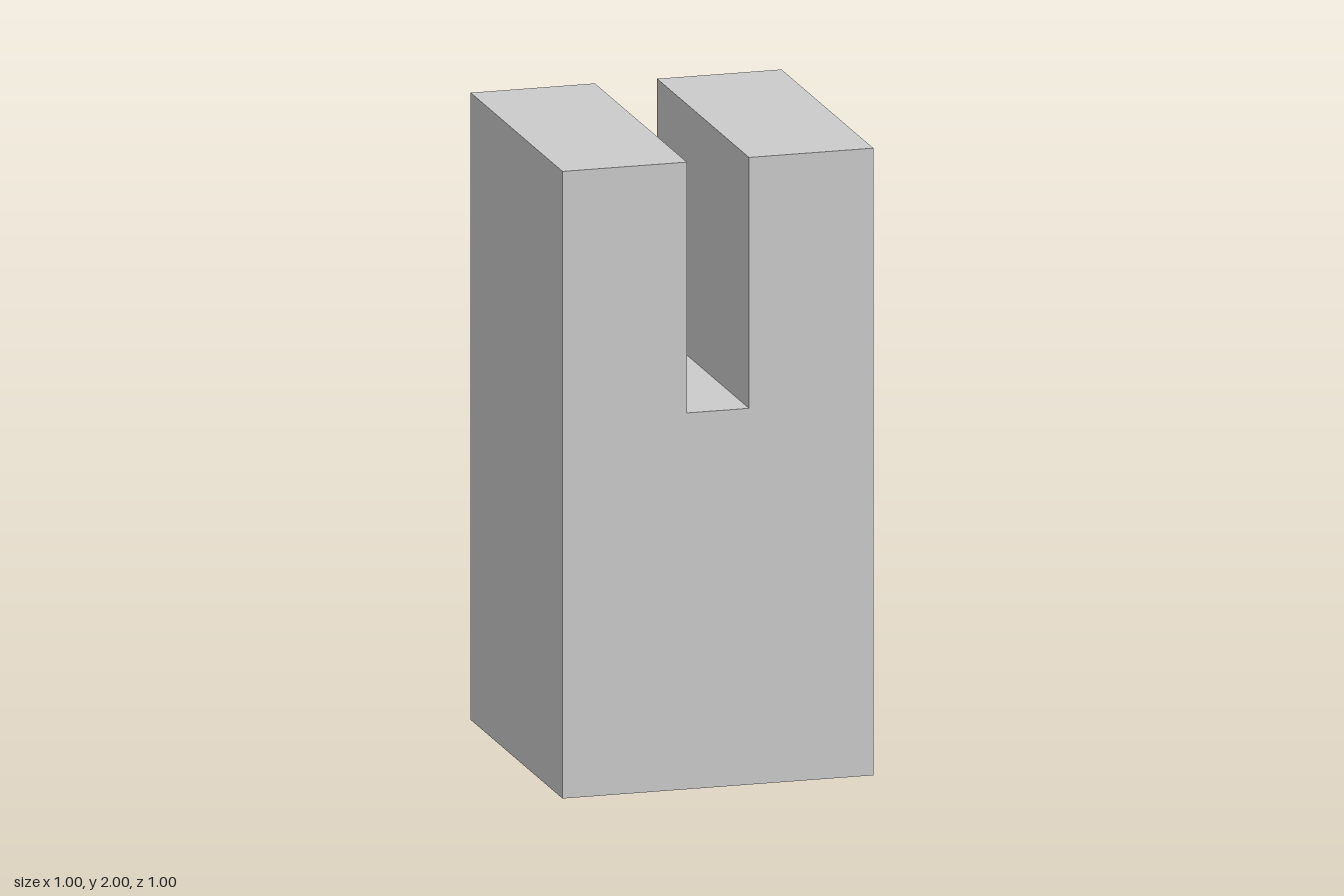
import * as THREE from 'three';

const WIDTH = 1, HEIGHT = 2, DEPTH = 1;
const SLOT_WIDTH = 0.2, SLOT_FLOOR = 1.2;

export function createModel() {
  const group = new THREE.Group();
  group.name = 'slottedBlock';

  // U-shaped front outline, counter-clockwise from the bottom corner
  const w = WIDTH / 2, s = SLOT_WIDTH / 2;
  const outline = new THREE.Shape([
    [-w, 0], [w, 0], [w, HEIGHT], [s, HEIGHT],
    [s, SLOT_FLOOR], [-s, SLOT_FLOOR], [-s, HEIGHT], [-w, HEIGHT],
  ].map(([x, y]) => new THREE.Vector2(x, y)));

  // Block with the slot running through from front to back
  const geometry = new THREE.ExtrudeGeometry(outline, { depth: DEPTH, bevelEnabled: false });
  geometry.translate(0, 0, -DEPTH / 2);

  const block = new THREE.Mesh(
    geometry,
    new THREE.MeshStandardMaterial({ color: 0xcccccc, flatShading: true }),
  );
  block.name = 'block';
  group.add(block);

  return group;
}
